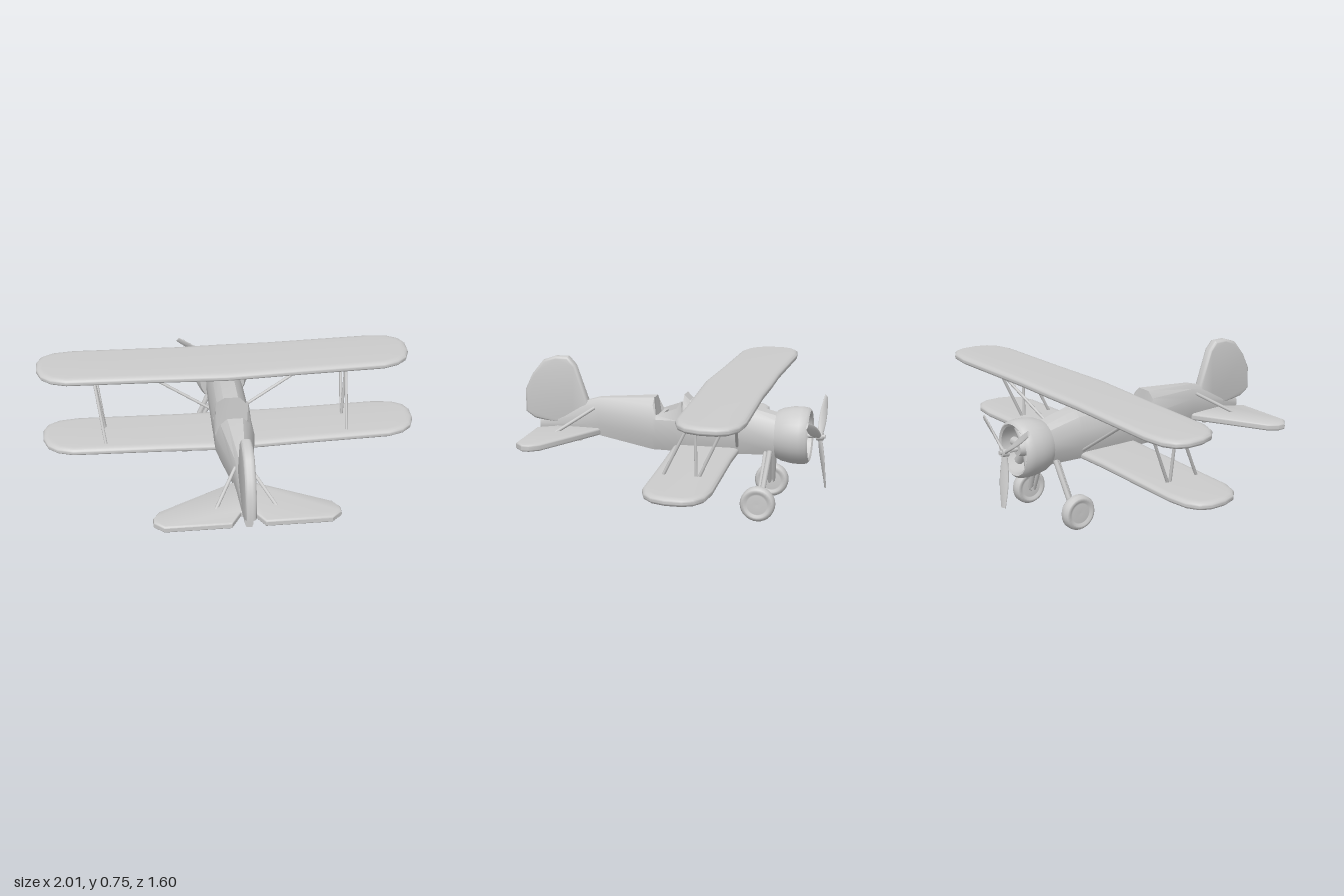
import * as THREE from 'three';
import { toCreasedNormals } from 'three/addons/utils/BufferGeometryUtils.js';

const mat = new THREE.MeshStandardMaterial({ color: 0xcccccc });
const matDouble = new THREE.MeshStandardMaterial({ color: 0xcccccc, side: THREE.DoubleSide });
const V = (x, y, z) => new THREE.Vector3(x, y, z);

export function createModel() {
  const model = new THREE.Group();
  model.name = 'biplane';

  const add = (name, geo, parent = model, material = mat) => {
    const m = new THREE.Mesh(geo, material);
    m.name = name;
    parent.add(m);
    return m;
  };

  // Round rod between two points
  const rod = (name, a, b, r, parent = model) => {
    const m = add(name, new THREE.CylinderGeometry(r, r, a.distanceTo(b), 8), parent);
    m.position.copy(a).add(b).multiplyScalar(0.5);
    m.quaternion.setFromUnitVectors(V(0, 1, 0), b.clone().sub(a).normalize());
    return m;
  };

  // Slab with rounded rim, centred on its thickness
  const slab = (pts, thick, bevel) => {
    const shape = new THREE.Shape(pts.map(p => new THREE.Vector2(p[0], p[1])));
    const bt = thick * 0.4;
    const g = new THREE.ExtrudeGeometry(shape, {
      depth: thick - 2 * bt, bevelEnabled: true, bevelThickness: bt,
      bevelSize: bevel, bevelOffset: -bevel, bevelSegments: 4,
    });
    g.translate(0, 0, bt - thick / 2);
    return toCreasedNormals(g, 0.7);
  };

  // Fuselage: lofted sections [z, bottom, top, half width, cockpit sill]
  const sections = [
    [-0.56, 0.31, 0.505, 0.09], [-0.36, 0.305, 0.555, 0.095],
    [-0.09, 0.30, 0.565, 0.098], [-0.06, 0.30, 0.595, 0.098],
    [-0.052, 0.30, 0.57, 0.098, 0.57], [-0.03, 0.30, 0.57, 0.099, 0.53],
    [0.08, 0.302, 0.57, 0.1, 0.49], [0.1, 0.302, 0.57, 0.1],
    [0.4, 0.35, 0.55, 0.045], [0.47, 0.355, 0.53, 0.038], [0.73, 0.36, 0.42, 0.02],
  ];
  const ring = ([z, b, t, w, sill]) => {
    const h = t - b, floor = 0.4;
    const half = [[0, b], [0.7 * w, b], [w, b + 0.3 * h], [w, b + 0.62 * h]];
    if (sill) half.push([0.88 * w, sill], [0.8 * w, floor], [0, floor]);
    else half.push([0.75 * w, t - 0.12 * h], [0.4 * w, t], [0, t]);
    const mirrored = half.slice(1, -1).reverse().map(([x, y]) => [-x, y]);
    return [...half, ...mirrored].map(([x, y]) => [x, y, z]);
  };
  const rings = sections.map(ring), n = rings[0].length, pos = [];
  const tri = (a, b, c) => pos.push(...a, ...b, ...c);
  for (let i = 0; i < rings.length - 1; i++) {
    for (let j = 0; j < n; j++) {
      const k = (j + 1) % n, A = rings[i], B = rings[i + 1];
      tri(A[j], A[k], B[k]);
      tri(A[j], B[k], B[j]);
    }
  }
  const first = rings[0], last = rings[rings.length - 1];
  for (let j = 1; j < n - 1; j++) {
    tri(first[0], first[j + 1], first[j]);
    tri(last[0], last[j], last[j + 1]);
  }
  const body = new THREE.BufferGeometry();
  body.setAttribute('position', new THREE.Float32BufferAttribute(pos, 3));
  add('fuselage', toCreasedNormals(body, 0.5), model, matDouble);

  // Cockpit seat and divider
  const seat = add('seatBack', new THREE.BoxGeometry(0.13, 0.1, 0.02));
  seat.position.set(0, 0.44, 0.06);
  add('cockpitDivider', new THREE.BoxGeometry(0.012, 0.06, 0.12)).position.set(0, 0.43, 0.01);

  // Wings: swept outline for one side, mirrored to the other
  const wingHalf = [
    [0, -0.168], [0.25, -0.165], [0.8, -0.182], [0.91, -0.169], [0.97, -0.133], [0.995, -0.08],
    [0.995, 0.0], [0.97, 0.07], [0.92, 0.115], [0.84, 0.142], [0.4, 0.158], [0, 0.178],
  ];
  const wingPts = [...wingHalf, ...wingHalf.slice(1, -1).reverse().map(([x, z]) => [-x, z])];
  const wing = name => {
    const g = slab(wingPts, 0.042, 0.032);
    g.rotateX(Math.PI / 2);
    return add(name, g);
  };
  wing('upperWing').position.set(-0.01, 0.648, -0.338);
  wing('lowerWing').position.set(0.005, 0.317, -0.185);

  // Wing struts: three rods per side, plus a long diagonal to the fuselage
  for (const [side, xTop, xLow, xDiag] of [['left', 0.63, 0.62, 0.59], ['right', -0.705, -0.66, -0.57]]) {
    const g = new THREE.Group();
    g.name = side + 'WingStruts';
    model.add(g);
    for (const [zt, zl] of [[-0.24, -0.085], [-0.245, -0.25], [-0.405, -0.26]])
      rod('wingStrut', V(xTop, 0.64, zt), V(xLow, 0.325, zl), 0.008, g);
    rod('diagonalStrut', V(xDiag, 0.64, -0.43), V(Math.sign(xDiag) * 0.08, 0.35, -0.345), 0.008, g);
  }

  // Tail fin with rudder
  const fin = slab([
    [0.45, 0.4], [0.465, 0.53], [0.53, 0.715], [0.57, 0.76], [0.64, 0.76], [0.71, 0.735],
    [0.77, 0.66], [0.81, 0.575], [0.81, 0.455], [0.76, 0.42], [0.55, 0.385],
  ], 0.054, 0.014);
  fin.rotateY(-Math.PI / 2);
  add('tailFin', fin);

  for (const s of [1, -1]) {
    const side = s > 0 ? 'left' : 'right';

    // Tailplane and its brace
    const pts = [[0, 0.39], [0.05, 0.395], [0.42, 0.595], [0.455, 0.645], [0.455, 0.685],
      [0.405, 0.73], [0.08, 0.73], [0.03, 0.645], [0, 0.645]].map(([x, z]) => [s * x, z]);
    const g = slab(pts, 0.036, 0.012);
    g.rotateX(Math.PI / 2);
    add(side + 'Tailplane', g).position.y = 0.371;
    rod(side + 'TailBrace', V(s * 0.035, 0.497, 0.425), V(s * 0.155, 0.375, 0.615), 0.009);

    // Main wheel: rounded tyre profile with a dished hub, spun about x
    const half = [[0.001, 0.022], [0.05, 0.024], [0.056, 0.019], [0.066, 0.031], [0.08, 0.027], [0.089, 0.013]];
    const profile = [...half.map(([r, y]) => [r, -y]), ...half.slice().reverse()];
    const tyre = new THREE.LatheGeometry(profile.map(p => new THREE.Vector2(...p)), 28);
    tyre.rotateZ(Math.PI / 2);
    add(side + 'Wheel', tyre, model, matDouble).position.set(s * 0.225, 0.095, -0.48);

    // Landing gear legs and axle
    rod(side + 'FrontLeg', V(s * 0.085, 0.335, -0.515), V(s * 0.192, 0.1, -0.49), 0.014);
    rod(side + 'RearLeg', V(s * 0.06, 0.33, -0.49), V(s * 0.185, 0.09, -0.475), 0.011);
    rod(side + 'Axle', V(s * 0.175, 0.095, -0.48), V(s * 0.225, 0.095, -0.48), 0.016);
  }

  // Tail wheel
  rod('tailWheelLeg', V(0, 0.37, 0.51), V(0, 0.32, 0.515), 0.006);
  const tailWheel = new THREE.CylinderGeometry(0.014, 0.014, 0.014, 14);
  tailWheel.rotateZ(Math.PI / 2);
  add('tailWheel', tailWheel).position.set(0, 0.319, 0.515);

  // Engine group: local y points forward before turning
  const engine = new THREE.Group();
  engine.name = 'engine';
  engine.position.set(0, 0.405, -0.54);
  engine.rotation.x = -Math.PI / 2;
  model.add(engine);
  const cowl = [[0.09, -0.002], [0.122, 0], [0.136, 0.03], [0.146, 0.08], [0.148, 0.125], [0.143, 0.158],
    [0.13, 0.17], [0.118, 0.162], [0.118, 0.04], [0.001, 0.035]];
  add('cowling', toCreasedNormals(new THREE.LatheGeometry(cowl.map(p => new THREE.Vector2(...p)), 32), 0.8),
    engine, matDouble);
  add('crankcase', new THREE.CylinderGeometry(0.035, 0.055, 0.11, 16), engine).position.y = 0.09;
  for (let i = 0; i < 7; i++) {
    const a = (i / 7) * Math.PI * 2;
    rod('engineCylinder', V(0, 0.09, 0), V(Math.cos(a) * 0.118, 0.09, Math.sin(a) * 0.118), 0.024, engine);
  }
  rod('propellerShaft', V(0, 0.13, 0), V(0, 0.245, 0), 0.011, engine);

  // Propeller: three twisted tapered blades on a slightly tilted disc
  const propeller = new THREE.Group();
  propeller.name = 'propeller';
  propeller.position.set(-0.005, 0.402, -0.757);
  propeller.rotation.set(0.11, -0.09, 0);
  model.add(propeller);
  const hub = new THREE.CylinderGeometry(0.02, 0.02, 0.035, 14);
  hub.rotateX(Math.PI / 2);
  add('propellerHub', hub, propeller);
  for (const deg of [265, 145, 25]) {
    const blade = new THREE.CylinderGeometry(1, 1, 0.275, 12, 10);
    const p = blade.attributes.position;
    for (let i = 0; i < p.count; i++) {
      const t = p.getY(i) / 0.275 + 0.5;
      const w = 0.01 + 0.016 * Math.sin(Math.PI * Math.min(1, t * 0.85 + 0.02));
      const x = p.getX(i) * w, z = p.getZ(i) * (0.009 - 0.004 * t);
      const a = 0.9 - 0.65 * t;
      p.setXYZ(i, x * Math.cos(a) - z * Math.sin(a), t * 0.275, x * Math.sin(a) + z * Math.cos(a));
    }
    blade.computeVertexNormals();
    add('propellerBlade', blade, propeller).rotation.z = THREE.MathUtils.degToRad(deg - 90);
  }

  return model;
}
